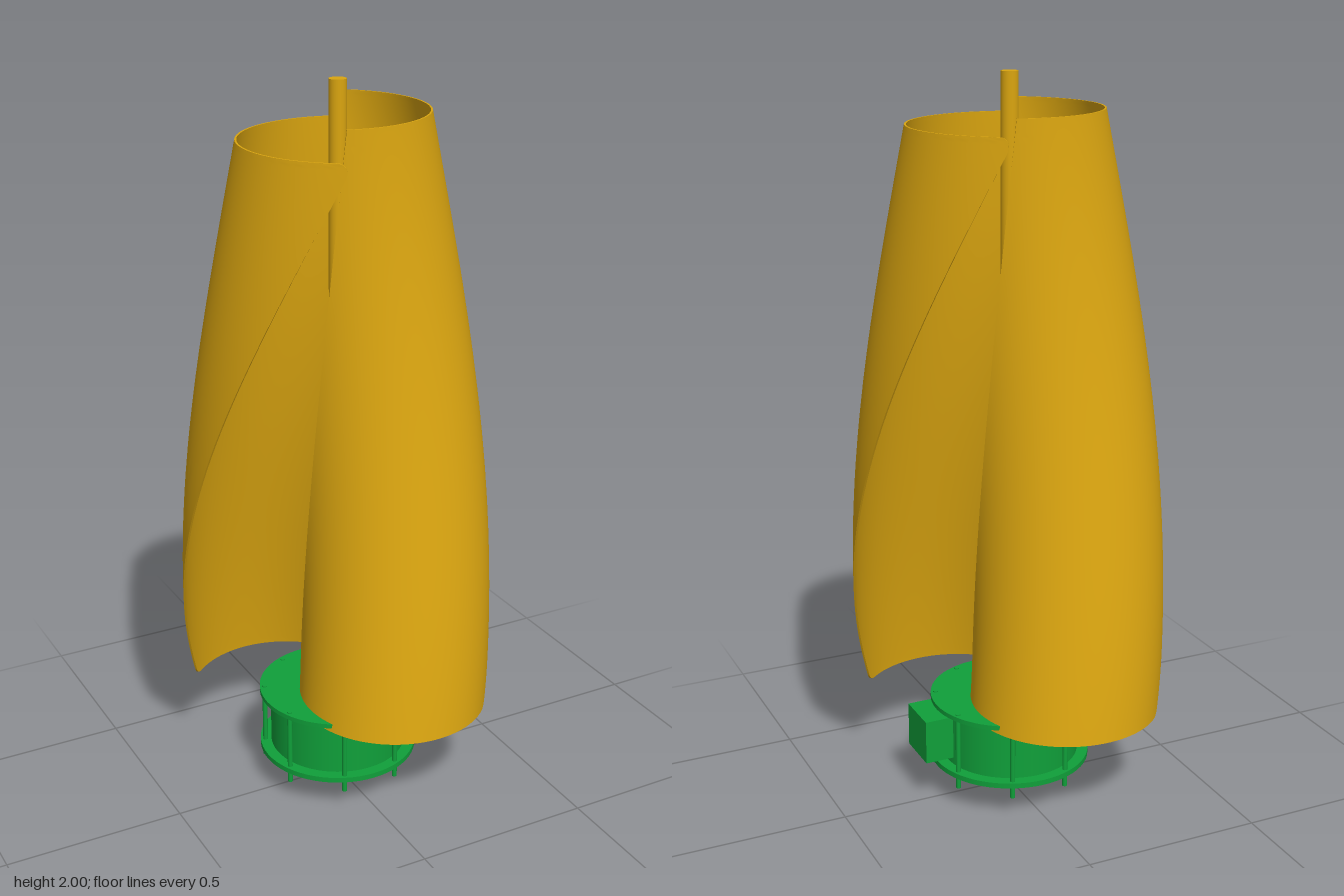
import * as THREE from 'three';
import { toCreasedNormals } from 'three/addons/utils/BufferGeometryUtils.js';

const gold = new THREE.MeshStandardMaterial({ color: 0xdaa510 });
const green = new THREE.MeshStandardMaterial({ color: 0x10a03a });
const rad = THREE.MathUtils.degToRad;

const Y0 = 0.26, Y1 = 1.89, FILLET = 0.04, HALF_THICK = 0.0025, ROWS = 64, COLS = 44;

// Distance the tip edge pulls back to round the blade's top and bottom corners
function tipRetreat(y) {
  const r = y > 1 ? FILLET : FILLET * 0.5;
  const d = Math.max(0, r - Math.min(y - Y0, Y1 - y));
  return r - Math.sqrt(Math.max(0, r * r - d * d));
}

// One closed section: near-semicircular arc, out along its convex side and back along the concave one
function bladeSection(y) {
  const t = (y - Y0) / (Y1 - Y0);
  const phi = rad(36.5 - 107 * t);
  const offset = 0.157 + 0.046 * t - 0.021 * t * t;
  const radius = 0.262 + 0.009 * t * t;
  const start = rad(6) + tipRetreat(y) / radius, end = rad(178);
  const cx = offset * Math.cos(phi), cz = offset * Math.sin(phi);
  const loop = [];
  for (const side of [1, -1]) {
    for (let i = 0; i <= COLS; i++) {
      const u = side > 0 ? i / COLS : 1 - i / COLS;
      const a = phi + start + (end - start) * u;
      const r = radius + side * HALF_THICK;
      loop.push(cx + r * Math.cos(a), y, cz + r * Math.sin(a));
    }
  }
  return loop;
}

// Twisted sheet lofted through the sections
function bladeGeometry() {
  const positions = [], index = [], n = 2 * (COLS + 1);
  for (let j = 0; j <= ROWS; j++) {
    // rows bunch towards both ends so the rounded corners stay smooth
    const t = (1 - Math.cos(Math.PI * j / ROWS)) / 2;
    positions.push(...bladeSection(Y0 + (Y1 - Y0) * t));
  }
  for (let j = 0; j < ROWS; j++) {
    for (let i = 0; i < n; i++) {
      const k = (i + 1) % n, a = j * n, b = a + n;
      index.push(a + i, b + i, b + k, a + i, b + k, a + k);
    }
  }
  const top = ROWS * n;
  for (let i = 0; i < COLS; i++) {
    const o = i, p = i + 1, q = n - 2 - i, r = n - 1 - i;
    index.push(o, p, q, o, q, r, top + o, top + q, top + p, top + o, top + r, top + q);
  }
  const geo = new THREE.BufferGeometry();
  geo.setAttribute('position', new THREE.Float32BufferAttribute(positions, 3));
  geo.setIndex(index);
  return toCreasedNormals(geo, rad(40));
}

function add(parent, name, geometry, material, x = 0, y = 0, z = 0) {
  const mesh = new THREE.Mesh(geometry, material);
  mesh.name = name;
  mesh.position.set(x, y, z);
  parent.add(mesh);
  return mesh;
}

// Upright cylinder between two heights
function post(parent, name, material, r, y0, y1, x = 0, z = 0, sides = 48) {
  return add(parent, name, new THREE.CylinderGeometry(r, r, y1 - y0, sides), material, x, (y0 + y1) / 2, z);
}

export function createModel() {
  const model = new THREE.Group();
  model.name = 'verticalWindTurbine';

  // Central shaft
  post(model, 'shaft', gold, 0.023, 0, 2, 0, 0, 32);

  // Pair of twisted blades, half a turn apart
  const rotor = new THREE.Group();
  rotor.name = 'rotor';
  model.add(rotor);
  const blade = bladeGeometry();
  add(rotor, 'rightBlade', blade, gold).rotation.y = Math.PI;
  add(rotor, 'leftBlade', blade, gold);

  // Generator housing
  const generator = new THREE.Group();
  generator.name = 'generator';
  model.add(generator);
  post(generator, 'bottomPlate', green, 0.223, 0.095, 0.11, 0, 0, 64);
  post(generator, 'housing', green, 0.192, 0.105, 0.275, 0, 0, 64);
  post(generator, 'topPlate', green, 0.223, 0.27, 0.283, 0, 0, 64);
  add(generator, 'terminalBox', new THREE.BoxGeometry(0.11, 0.125, 0.13), green, 0.215, 0.192, 0.03);

  // Clamping rods around the rim
  for (let i = 0; i < 8; i++) {
    const a = rad(22.5 + 45 * i);
    post(generator, 'clampRod', green, 0.007, 0.06, 0.286, 0.209 * Math.cos(a), 0.209 * Math.sin(a), 12);
  }

  // Stepped hub with bolts on top of the housing
  post(generator, 'hubFlange', green, 0.082, 0.28, 0.288);
  post(generator, 'bearingCap', green, 0.05, 0.285, 0.294);
  for (let i = 0; i < 4; i++) {
    const a = i * Math.PI / 2;
    post(generator, 'hubBolt', green, 0.011, 0.285, 0.294, 0.066 * Math.cos(a), 0.066 * Math.sin(a), 16);
  }
  return model;
}
